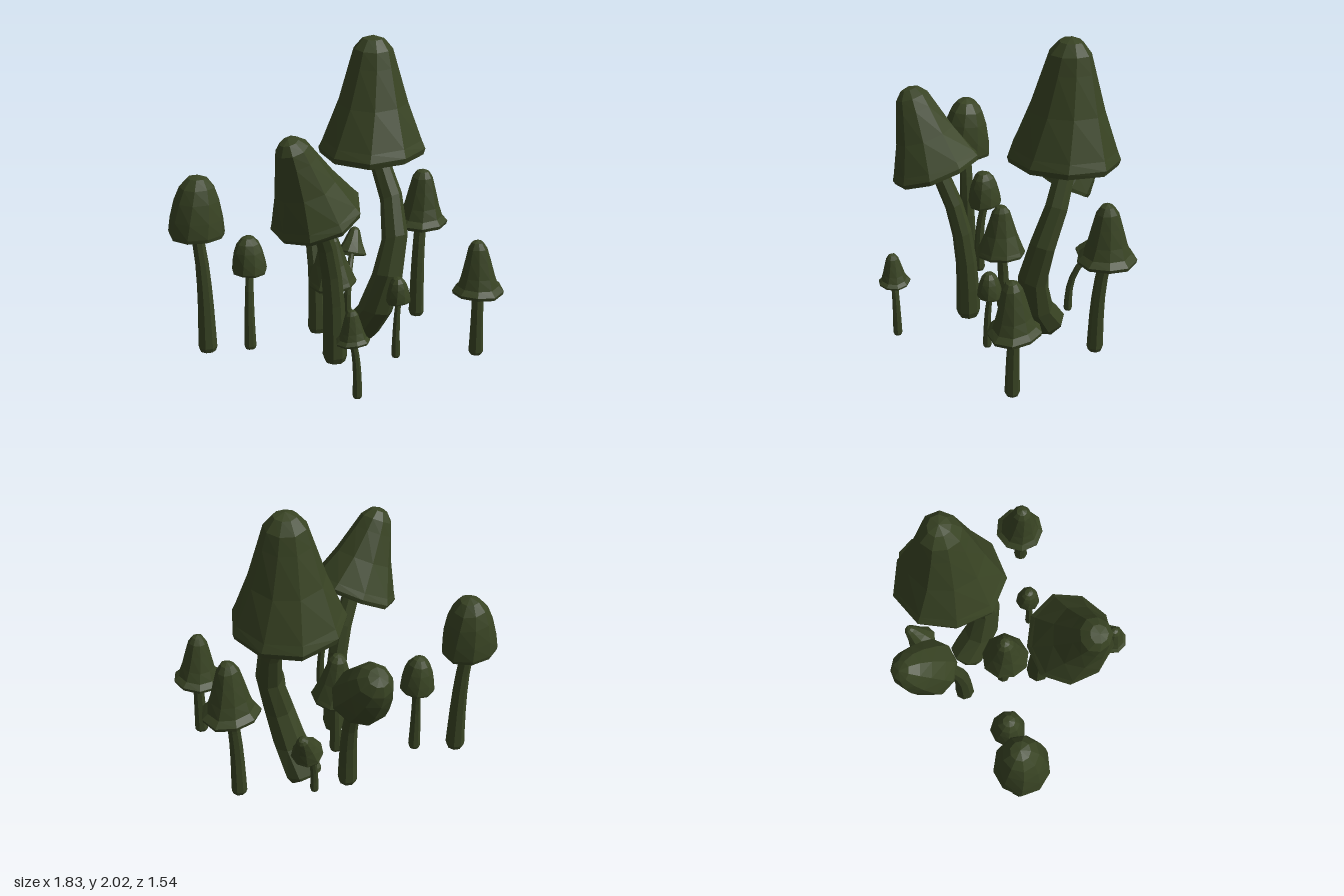
import * as THREE from 'three';

// Outer cap outlines from rim to tip, as [radius, height] of a unit cap
const OUTLINES = {
  bell: [[1, 0.03], [0.93, 0.1], [0.66, 0.42], [0.45, 0.74], [0.36, 0.88], [0.2, 0.97], [0, 1]],
  flared: [[1, 0.04], [0.8, 0.13], [0.66, 0.32], [0.5, 0.62], [0.37, 0.85], [0.22, 0.96], [0, 1]],
  dome: [[1, 0.04], [0.94, 0.28], [0.8, 0.58], [0.62, 0.8], [0.35, 0.95], [0, 1]],
};
// Hollow underside and lip shared by every cap
const UNDERSIDE = [[0, 0.5], [0.45, 0.4], [0.72, 0.16], [0.86, -0.02], [0.97, -0.02]];

// Stem foot and top radius as a share of the cap radius
const STEM_WIDTH = { bell: [0.28, 0.18], flared: [0.29, 0.2], dome: [0.36, 0.21] };

const UP = new THREE.Vector3(0, 1, 0);

// Split faces so each one is flat
function faceted(geo) {
  const flat = geo.toNonIndexed();
  flat.computeVertexNormals();
  return flat;
}

// Nine-sided hollow cap with a gently wavy, slightly twisted skin
function capGeometry(type, radius, height, phase) {
  const outline = [...UNDERSIDE, ...OUTLINES[type]];
  const pts = outline.map(([r, h]) => new THREE.Vector2(r * radius, h * height));
  const geo = new THREE.LatheGeometry(pts, 9, phase);
  const p = geo.attributes.position;
  const v = new THREE.Vector3();
  for (let i = 0; i < p.count; i++) {
    v.fromBufferAttribute(p, i);
    const a = Math.atan2(v.z, v.x);
    const r = Math.hypot(v.x, v.z);
    const k = 1 + 0.025 * Math.sin(3 * a + phase);
    v.set(v.x * k, v.y + 0.05 * r * Math.sin(2 * a + phase * 2), v.z * k);
    v.applyAxisAngle(UP, 0.25 * v.y / height);
    p.setXYZ(i, v.x, v.y, v.z);
  }
  return faceted(geo);
}

// Tapered curved stem with a bevelled, closed foot
function stemGeometry(points, r0, r1) {
  const stations = [0, 0, 0.03, 0.15, 0.3, 0.45, 0.6, 0.75, 0.9, 1];
  const last = stations.length - 1;
  const sides = 8;
  const curve = new THREE.CatmullRomCurve3(points);
  const geo = new THREE.TubeGeometry(curve, last, 1, sides, false);
  const p = geo.attributes.position;
  const v = new THREE.Vector3();
  stations.forEach((u, i) => {
    const from = curve.getPointAt(i / last);
    const to = curve.getPointAt(u);
    const bevel = [0, 0.82][i] ?? 1;
    const r = (r1 + (r0 - r1) * Math.pow(1 - u, 1.5)) * bevel;
    for (let j = 0; j <= sides; j++) {
      const n = i * (sides + 1) + j;
      v.fromBufferAttribute(p, n).sub(from).multiplyScalar(r).add(to);
      p.setXYZ(n, v.x, v.y, v.z);
    }
  });
  return faceted(geo);
}

// R: rim radius, rim: rim centre, h: cap height, lean: tip offset in x and z,
// foot: stem foot in x and z, bends: stem points that replace the usual curve
const MUSHROOMS = [
  { name: 'giantMushroom', type: 'bell', R: 0.345, rim: [0.36, 1.26, -0.16], h: 0.74, lean: [0.02, -0.01],
    foot: [0.26, -0.16], footY: 0.04, width: [0.37, 0.16],
    bends: [[0.28, 0.25, 0], [0.33, 0.57, 0.08], [0.41, 0.87, 0.03], [0.4, 1.22, -0.13]] },
  { name: 'leaningMushroom', type: 'bell', R: 0.28, rim: [-0.34, 1.07, 0.2], h: 0.51, lean: [-0.21, 0.02], foot: [-0.16, 0.14] },
  { name: 'tallDomeMushroom', type: 'dome', R: 0.175, rim: [-0.74, 0.85, -0.49], h: 0.38, lean: [0.02, 0], foot: [-0.71, -0.47] },
  { name: 'smallDomeMushroom', type: 'dome', R: 0.112, rim: [-0.45, 0.58, -0.36], h: 0.235, lean: [-0.01, 0], foot: [-0.48, -0.33] },
  { name: 'smallBellMushroom', type: 'flared', R: 0.1, rim: [-0.375, 0.43, 0.585], h: 0.2, lean: [-0.01, 0], foot: [-0.35, 0.6] },
  { name: 'middleMushroom', type: 'bell', R: 0.155, rim: [-0.04, 0.49, -0.05], h: 0.33, lean: [-0.01, -0.01], foot: [-0.035, -0.065] },
  { name: 'backLeaningMushroom', type: 'dome', R: 0.18, rim: [0.1, 0.83, -0.51], h: 0.3, lean: [0.025, -0.22], foot: [0.055, -0.33], footY: 0.03 },
  { name: 'rightMushroom', type: 'flared', R: 0.18, rim: [0.74, 0.72, -0.09], h: 0.37, lean: [0, 0.01], foot: [0.7, -0.07] },
  { name: 'frontMushroom', type: 'flared', R: 0.16, rim: [0.605, 0.49, 0.6], h: 0.34, lean: [-0.02, 0], foot: [0.6, 0.61] },
  { name: 'tinyMushroom', type: 'dome', R: 0.078, rim: [0.19, 0.44, 0.33], h: 0.16, lean: [-0.01, 0], foot: [0.17, 0.335] },
  { name: 'hiddenMushroom', type: 'bell', R: 0.1, rim: [0.4, 0.475, -0.4], h: 0.165, lean: [0.07, -0.05], foot: [0.3, -0.32] },
];

// Stem path: rises almost straight, then curves up into the hollow of the cap
function stemPath(foot, rim, axis, bends) {
  const at = (side, up) => new THREE.Vector3(
    THREE.MathUtils.lerp(foot.x, rim.x, side),
    THREE.MathUtils.lerp(foot.y, rim.y, up),
    THREE.MathUtils.lerp(foot.z, rim.z, side));
  const middle = bends ? bends.map((b) => new THREE.Vector3(...b)) : [at(0.06, 0.4), at(0.35, 0.72), at(0.9, 0.97)];
  return [foot, ...middle, rim.clone().addScaledVector(axis, 0.52)];
}

export function createModel() {
  const group = new THREE.Group();
  group.name = 'mushroomCluster';
  const green = new THREE.MeshStandardMaterial({ color: 0x384323 });
  green.name = 'darkOlive';

  MUSHROOMS.forEach(({ name, type, R, rim, h, lean, foot, footY = 0.065, width = STEM_WIDTH[type], bends }, i) => {
    const mushroom = new THREE.Group();
    mushroom.name = name;
    const rimCentre = new THREE.Vector3(...rim);
    const axis = new THREE.Vector3(lean[0], h, lean[1]);

    const cap = new THREE.Mesh(capGeometry(type, R, axis.length(), i * 1.3), green);
    cap.name = 'cap';
    cap.position.copy(rimCentre);
    cap.quaternion.setFromUnitVectors(UP, axis.clone().normalize());

    const footPoint = new THREE.Vector3(foot[0], footY, foot[1]);
    const path = stemPath(footPoint, rimCentre, axis, bends);
    const stem = new THREE.Mesh(stemGeometry(path, width[0] * R, width[1] * R), green);
    stem.name = 'stem';

    mushroom.add(cap, stem);
    group.add(mushroom);
  });
  return group;
}
